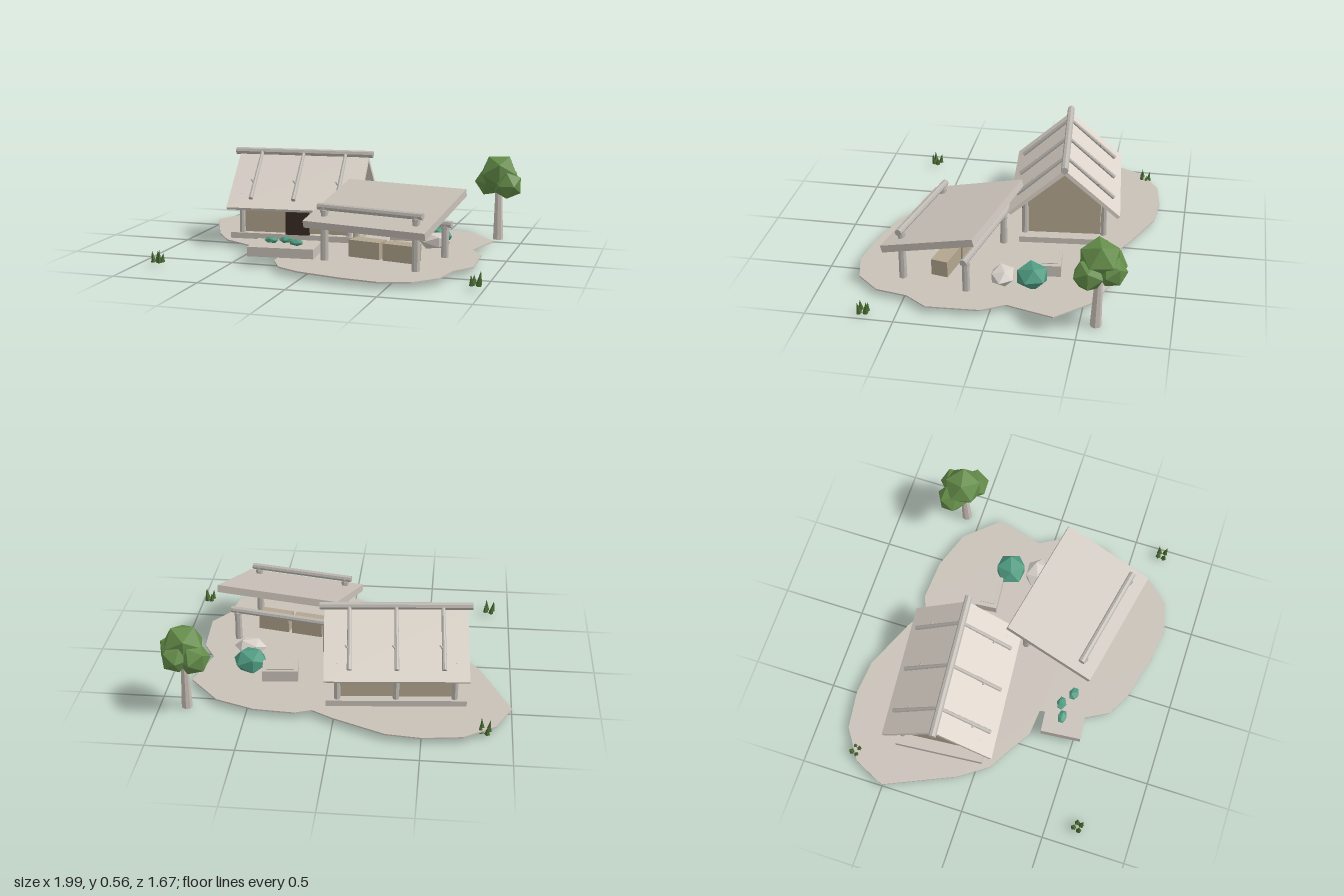
import * as THREE from 'three';

const mat = (name, color) => Object.assign(new THREE.MeshStandardMaterial({ color }), { name });

export function createModel() {
  const M = {
    stone: mat('stone', 0xc9c1b8),
    roof: mat('pale roof', 0xdcd4ca),
    wood: mat('weathered wood', 0xbdb8b1),
    wall: mat('tan wall', 0xb3a68f),
    dark: mat('dark doorway', 0x3a2c24),
    shrub: mat('teal shrub', 0x4f9a80),
    leaf: mat('leaf green', 0x648c49),
    grass: mat('grass green', 0x48692f),
    rock: mat('rock', 0xd6cfc8),
  };
  const model = new THREE.Group();

  const flat = (geo) => {
    const g = geo.index ? geo.toNonIndexed() : geo;
    g.computeVertexNormals();
    return g;
  };
  const add = (parent, name, geo, material, x = 0, y = 0, z = 0) => {
    const mesh = new THREE.Mesh(geo, material);
    mesh.name = name;
    mesh.position.set(x, y, z);
    parent.add(mesh);
    return mesh;
  };
  const group = (name, x, z, turn) => {
    const g = new THREE.Group();
    g.name = name;
    g.position.set(x, 0, z);
    g.rotation.y = turn;
    model.add(g);
    return g;
  };
  const box = (parent, name, m, w, y0, y1, d, x = 0, z = 0) =>
    add(parent, name, new THREE.BoxGeometry(w, y1 - y0, d), m, x, (y0 + y1) / 2, z);
  // Faceted pole running between two points
  const pole = (parent, name, a, b, r0, r1 = r0, m = M.wood) => {
    const from = new THREE.Vector3(...a), to = new THREE.Vector3(...b);
    const dir = to.clone().sub(from);
    const mesh = add(parent, name, flat(new THREE.CylinderGeometry(r1, r0, dir.length(), 8)), m);
    mesh.position.copy(from).add(to).multiplyScalar(0.5);
    mesh.quaternion.setFromUnitVectors(new THREE.Vector3(0, 1, 0), dir.normalize());
    return mesh;
  };
  const blob = (parent, name, m, [x, y, z], [sx, sy, sz], turn = 0) => {
    const geo = new THREE.IcosahedronGeometry(1, 0).rotateY(turn).scale(sx, sy, sz);
    return add(parent, name, flat(geo), m, x, y, z);
  };

  // Ground plate
  const outline = [
    [-1, -0.5], [-0.91, -0.69], [-0.73, -0.81], [-0.505, -0.84], [-0.3, -0.82], [0, -0.69],
    [0.125, -0.62], [0.22, -0.655], [0.455, -0.64], [0.68, -0.56], [0.86, -0.36], [0.785, -0.085],
    [0.86, 0.045], [0.875, 0.35], [0.785, 0.475], [0.75, 0.66], [0.63, 0.79], [0.455, 0.835],
    [0.245, 0.805], [-0.025, 0.735], [-0.16, 0.66], [-0.23, 0.53], [-0.275, 0.255],
    [-0.435, 0.24], [-0.585, 0.145], [-0.7, 0.08], [-0.815, -0.085],
  ].map(([x, z]) => new THREE.Vector2(x, -z));
  const groundGeo = new THREE.ExtrudeGeometry(new THREE.Shape(outline), { depth: 0.008, bevelEnabled: false });
  add(model, 'ground', groundGeo.rotateX(-Math.PI / 2), M.stone, 0, 0.028, 0);

  // House: platform, gabled walls, posts
  const house = group('house', -0.323, -0.273, 0.087);
  box(house, 'platform', M.stone, 0.8, 0.024, 0.072, 0.53);
  const gable = new THREE.Shape([[-0.215, 0.07], [0.215, 0.07], [0.215, 0.3], [0, 0.492], [-0.215, 0.3]]
    .map((p) => new THREE.Vector2(...p)));
  const wallGeo = new THREE.ExtrudeGeometry(gable, { depth: 0.66, bevelEnabled: false });
  add(house, 'walls', wallGeo.translate(0, 0, -0.33).rotateY(Math.PI / 2), M.wall);
  box(house, 'doorway', M.dark, 0.145, 0.072, 0.21, 0.024, 0.02, 0.26);
  for (const x of [-0.333, 0, 0.333])
    for (const z of [-0.235, 0.235]) pole(house, 'housePost', [x, 0, z], [x, 0.31, z], 0.019, 0.016);

  // House roof: one bent slab, ridge pole and branch battens
  const roofShape = new THREE.Shape([[-0.33, 0.238], [-0.315, 0.222], [0, 0.497], [0.315, 0.222], [0.33, 0.238], [0, 0.53]]
    .map((p) => new THREE.Vector2(...p)));
  const roofGeo = new THREE.ExtrudeGeometry(roofShape, { depth: 0.815, bevelEnabled: false });
  add(house, 'houseRoof', roofGeo.translate(0, 0, -0.4075).rotateY(Math.PI / 2), M.roof);
  pole(house, 'ridgePole', [-0.435, 0.54, 0], [0.435, 0.54, 0], 0.022);
  for (const side of [-1, 1])
    for (const x of [-0.265, 0, 0.265]) {
      pole(house, 'roofBatten', [x, 0.29, side * 0.289], [x, 0.54, side * 0.01], 0.014, 0.011);
      pole(house, 'battenStub', [x, 0.37, side * 0.2], [x - side * 0.024, 0.392, side * 0.19], 0.008, 0.005);
    }

  // Pavilion: tilted slab on four posts with two cross beams
  const pavilion = group('pavilion', 0.353, 0.294, -0.2);
  const slab = add(pavilion, 'pavilionRoof', new THREE.BoxGeometry(0.753, 0.043, 0.58), M.stone, 0, 0.327, 0);
  slab.rotation.x = 0.275;
  for (const [z, y] of [[0.195, 0.342], [-0.195, 0.23]]) {
    pole(pavilion, 'crossBeam', [-0.325, y, z], [0.325, y, z], 0.02);
    for (const x of [-0.285, 0.285]) {
      pole(pavilion, 'pavilionPost', [x, 0, z], [x, y, z], 0.024, 0.021);
      pole(pavilion, 'postCollar', [x, y - 0.032, z], [x, y - 0.016, z], 0.025);
    }
  }
  for (const x of [-0.108, 0.108]) box(pavilion, 'crate', M.wall, 0.195, 0.026, 0.135, 0.1, x, 0.005);

  // Planter with low shrubs
  const planter = group('planter', -0.21, 0.405, 0.095);
  box(planter, 'planterBox', M.stone, 0.385, 0.053, 0.108, 0.24);
  [[-0.295, 0.4], [-0.215, 0.372], [-0.135, 0.425]].forEach(([x, z], i) =>
    blob(model, 'planterShrub', M.shrub, [x, 0.125, z], [0.044, 0.02, 0.03], i));

  // Stone trough behind the pavilion
  const trough = group('trough', 0.35, -0.27, 0.09);
  box(trough, 'troughBase', M.stone, 0.21, 0.024, 0.105, 0.13);
  box(trough, 'troughTop', M.stone, 0.16, 0.105, 0.11, 0.095);

  // Large shrub and rock
  blob(model, 'largeShrub', M.shrub, [0.54, 0.087, -0.193], [0.105, 0.08, 0.1], 0.3);
  blob(model, 'rock', M.rock, [0.565, 0.088, -0.03], [0.1, 0.055, 0.075], 0.5);

  // Tree
  pole(model, 'treeTrunk', [0.845, 0, -0.59], [0.84, 0.34, -0.6], 0.032, 0.02, M.stone);
  [[0.84, 0.415, -0.6, 0.122], [0.775, 0.355, -0.65, 0.095], [0.905, 0.352, -0.55, 0.092], [0.875, 0.365, -0.67, 0.085]]
    .forEach(([x, y, z, r], i) => blob(model, 'treeCrown', M.leaf, [x, y, z], [r, r, r], i * 0.7 + 0.2));

  // Grass tufts
  for (const [x, z] of [[-0.85, -0.72], [-0.88, 0.68], [0.955, 0.68]]) {
    const tuft = group('grassTuft', x, z, x);
    for (let i = 0; i < 4; i++) {
      const a = i * 1.7, r = 0.028;
      const h = 0.075 - i * 0.008;
      const blade = add(tuft, 'grassBlade', flat(new THREE.ConeGeometry(0.017, h, 5)), M.grass,
        Math.cos(a) * r, 0.018 + h / 2, Math.sin(a) * r);
      blade.rotation.set(Math.sin(a) * 0.15, 0, -Math.cos(a) * 0.15);
    }
  }
  return model;
}
